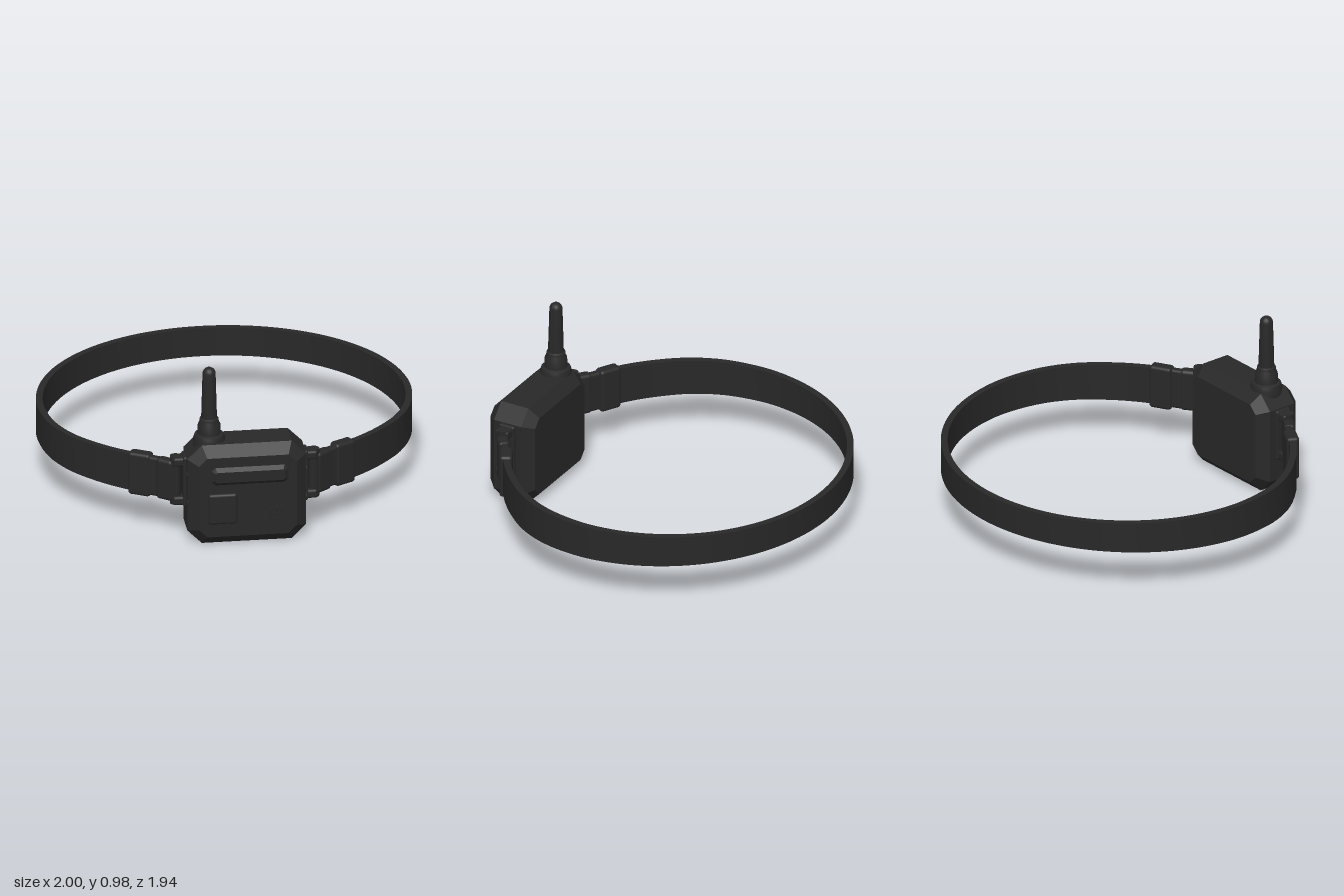
import * as THREE from 'three';
import { toCreasedNormals } from 'three/addons/utils/BufferGeometryUtils.js';
import { RoundedBoxGeometry } from 'three/addons/geometries/RoundedBoxGeometry.js';

const black = new THREE.MeshStandardMaterial({ color: 0x282828 });
black.name = 'matte black';

function add(parent, name, geometry, x = 0, y = 0, z = 0, ry = 0) {
  const mesh = new THREE.Mesh(geometry, black);
  mesh.name = name;
  mesh.position.set(x, y, z);
  mesh.rotation.y = ry;
  parent.add(mesh);
  return mesh;
}

// Open loop of webbing, slightly taller at the front than at the back
function strapGeometry() {
  const half = [[0.56, 0.675], [0.65, 0.61], [0.75, 0.52], [0.87, 0.375], [0.95, 0.2]];
  for (let i = 0; i < 9; i++) {
    const a = (i / 9) * Math.PI / 2;
    half.push([0.982 * Math.cos(a), -0.02 - 0.932 * Math.sin(a)]);
  }
  const all = [...half, [0, -0.952], ...half.slice().reverse().map(([x, z]) => [-x, z])];
  const curve = new THREE.CatmullRomCurve3(all.map(([x, z]) => new THREE.Vector3(x, -z, 0)));
  const outer = [], inner = [], n = 120, r = 0.018;
  for (let i = 0; i <= n; i++) {
    const p = curve.getPoint(i / n), t = curve.getTangent(i / n);
    outer.push(new THREE.Vector2(p.x + t.y * r, p.y - t.x * r));
    inner.push(new THREE.Vector2(p.x - t.y * r, p.y + t.x * r));
  }
  const geo = new THREE.ExtrudeGeometry(new THREE.Shape([...outer, ...inner.reverse()]),
    { depth: 1, bevelEnabled: false });
  geo.rotateX(-Math.PI / 2);
  const pos = geo.attributes.position;
  for (let i = 0; i < pos.count; i++) {
    const k = (pos.getZ(i) + 0.97) / 1.6;
    pos.setY(i, pos.getY(i) > 0.5 ? 0.41 + 0.033 * k : 0.25 - 0.015 * k);
  }
  return toCreasedNormals(geo, 0.6);
}

// Box with every edge cut off
function chamferedBox(w, h, d, corner, bevel) {
  const x = w / 2 - bevel, y = h / 2 - bevel, c = corner;
  const shape = new THREE.Shape([
    [x - c, -y], [x, -y + c], [x, y - c], [x - c, y],
    [-x + c, y], [-x, y - c], [-x, -y + c], [-x + c, -y],
  ].map(([a, b]) => new THREE.Vector2(a, b)));
  const geo = new THREE.ExtrudeGeometry(shape, {
    depth: d - 2 * bevel, bevelEnabled: true,
    bevelThickness: bevel, bevelSize: bevel, bevelSegments: 1,
  });
  geo.translate(0, 0, bevel - d / 2);
  return geo;
}

export function createModel() {
  const model = new THREE.Group();
  model.name = 'trackingCollar';
  add(model, 'strap', strapGeometry());

  // Tracker housing with its front details
  const tracker = new THREE.Group();
  tracker.name = 'tracker';
  model.add(tracker);
  add(tracker, 'housing', chamferedBox(0.635, 0.568, 0.275, 0.045, 0.055), 0, 0.286, 0.806);
  add(tracker, 'frontBar', chamferedBox(0.41, 0.1, 0.06, 0.008, 0.02), 0.01, 0.41, 0.937);
  add(tracker, 'frontButton', new RoundedBoxGeometry(0.155, 0.175, 0.04, 3, 0.015), -0.135, 0.22, 0.938);
  for (let i = 0; i < 3; i++) {
    const rib = add(tracker, 'frontRib', new RoundedBoxGeometry(0.01, 0.06, 0.012, 1, 0.004),
      0.12 + i * 0.027, 0.185 + i * 0.005, 0.943);
    rib.rotation.z = -0.35;
  }

  // Antenna: stepped foot, collar, tapering whip with a domed tip
  const profile = [[0.085, 0.53], [0.085, 0.575], [0.078, 0.598], [0.062, 0.605], [0.06, 0.655],
    [0.052, 0.672], [0.05, 0.69], [0.042, 0.695], [0.041, 0.74], [0.035, 0.95]]
    .map(([r, y]) => new THREE.Vector2(r, y));
  for (let i = 1; i <= 6; i++) {
    const a = (i / 6) * Math.PI / 2;
    profile.push(new THREE.Vector2(i === 6 ? 0 : 0.035 * Math.cos(a), 0.95 + 0.035 * Math.sin(a)));
  }
  add(tracker, 'antenna', toCreasedNormals(new THREE.LatheGeometry(profile, 28), 0.5), -0.19, 0, 0.803);

  // Hinged couplings joining strap and tracker on both sides
  for (const s of [-1, 1]) {
    const coupling = new THREE.Group();
    coupling.name = s > 0 ? 'leftCoupling' : 'rightCoupling';
    model.add(coupling);
    add(coupling, 'strapSleeve', new RoundedBoxGeometry(0.125, 0.245, 0.07, 3, 0.018),
      s * 0.54, 0.338, 0.685, s * 0.5);
    add(coupling, 'link', new RoundedBoxGeometry(0.11, 0.225, 0.045, 3, 0.015),
      s * 0.46, 0.338, 0.738, s * 0.55);
    add(coupling, 'hingeLeaf', new RoundedBoxGeometry(0.1, 0.235, 0.062, 3, 0.02),
      s * 0.415, 0.338, 0.775, s * 0.65);
    add(coupling, 'hingePin', new THREE.CylinderGeometry(0.03, 0.03, 0.275, 16),
      s * 0.37, 0.343, 0.802);
    // Lugs above and below the leaf, on a mounting plate
    for (const y of [0.23, 0.455]) {
      add(coupling, 'hingeLug', new RoundedBoxGeometry(0.075, 0.05, 0.08, 2, 0.014), s * 0.35, y, 0.805);
    }
    add(coupling, 'mountingPlate', new RoundedBoxGeometry(0.035, 0.29, 0.095, 2, 0.012), s * 0.318, 0.343, 0.805);
    for (const y of [0.24, 0.4]) {
      const screw = add(coupling, 'sideScrew', new THREE.CylinderGeometry(0.016, 0.016, 0.02, 12), s * 0.31, y, 0.873);
      screw.rotation.z = Math.PI / 2;
    }
  }
  return model;
}
